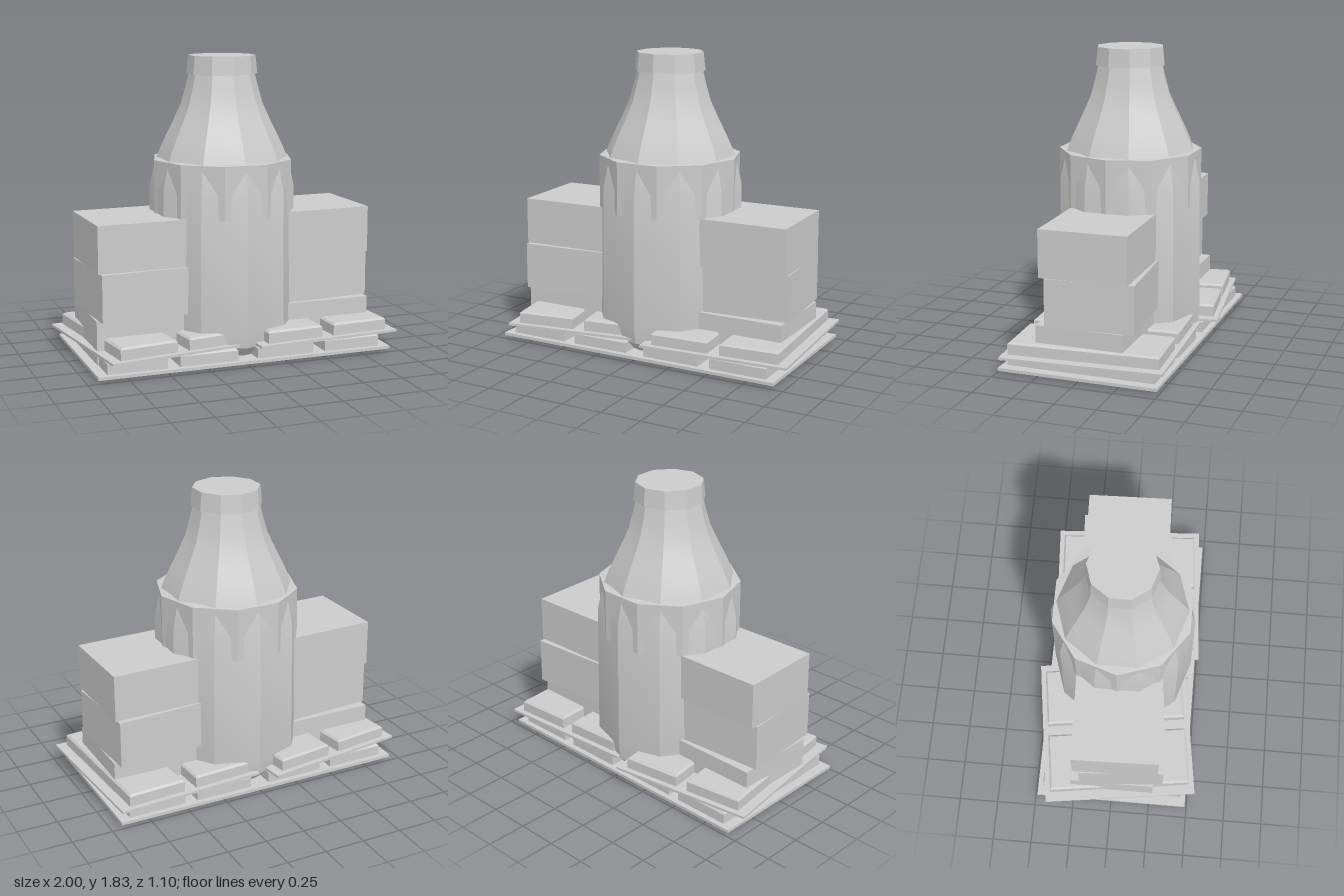
import * as THREE from 'three';
import { toCreasedNormals } from 'three/addons/utils/BufferGeometryUtils.js';

const material = new THREE.MeshStandardMaterial({ color: 0xcccccc });
const rad = THREE.MathUtils.degToRad;

function add(parent, name, geometry, x = 0, y = 0, z = 0) {
  const mesh = new THREE.Mesh(geometry, material);
  mesh.name = name;
  mesh.position.set(x, y, z);
  parent.add(mesh);
  return mesh;
}

// Box given by its bottom and top heights
function slab(parent, name, w, d, y0, y1) {
  return add(parent, name, new THREE.BoxGeometry(w, y1 - y0, d), 0, (y0 + y1) / 2, 0);
}

// Ten-sided turned form, smooth along its height and sharp between sides
function decagon(parent, name, profile, turn = 0) {
  const points = profile.map(([r, y]) => new THREE.Vector2(r, y));
  const geometry = new THREE.LatheGeometry(points, 10, turn);
  return add(parent, name, toCreasedNormals(geometry, rad(25)));
}

// Long plank with a narrow chamfer around its top
function plankGeometry(w, d, h, chamfer) {
  const a = w / 2 - chamfer, b = d / 2 - chamfer;
  const shape = new THREE.Shape([
    new THREE.Vector2(-a, -b), new THREE.Vector2(a, -b),
    new THREE.Vector2(a, b), new THREE.Vector2(-a, b),
  ]);
  const geometry = new THREE.ExtrudeGeometry(shape, {
    depth: h - chamfer, bevelEnabled: true, bevelSegments: 1,
    bevelSize: chamfer, bevelThickness: chamfer,
  });
  return geometry.rotateX(-Math.PI / 2);
}

// Thin plate carrying two planks
function tray(parent, name, x, z, y0, y1, top, degrees) {
  const group = new THREE.Group();
  group.name = name;
  group.position.set(x, 0, z);
  group.rotation.y = rad(degrees);
  slab(group, 'trayPlate', 0.935, 0.977, y0, y1);
  for (const side of [-1, 1]) {
    add(group, 'plank', plankGeometry(0.366, 0.91, top - y1, 0.012), side * 0.222, y1, 0);
  }
  parent.add(group);
}

export function createModel() {
  const model = new THREE.Group();
  model.name = 'bottleOnTrays';

  // Base foot and two layers of trays
  slab(model, 'footPlate', 0.47, 0.46, 0, 0.018);
  tray(model, 'lowerTrayRight', -0.4675, 0, 0.016, 0.035, 0.11, 0);
  tray(model, 'lowerTrayLeft', 0.4675, 0, 0.016, 0.035, 0.11, 0);
  tray(model, 'upperTrayRight', -0.4675, -0.003, 0.11, 0.125, 0.2, 8);
  tray(model, 'upperTrayLeft', 0.5025, -0.005, 0.11, 0.125, 0.2, 3.5);

  // Stacked blocks running through the body, each turned a little
  const blocks = [[0.04, 0.305, 0], [0.305, 0.593, 4], [0.593, 0.88, 1.6]];
  for (const [y0, y1, degrees] of blocks) {
    slab(model, 'crossBlock', 1.765, 0.535, y0, y1).rotation.y = rad(degrees);
  }

  // Body, with a half-step turned collar that cuts arches into its top
  decagon(model, 'body', [
    [0, 0.035], [0.37, 0.035], [0.44, 0.1], [0.456, 0.2], [0.446, 1.03], [0.408, 1.2], [0, 1.2],
  ]);
  decagon(model, 'collar', [
    [0, 0.88], [0.437, 0.88], [0.437, 1.205], [0.39, 1.21], [0, 1.21],
  ], Math.PI / 10);

  // Shoulder, neck and cap
  decagon(model, 'shoulder', [
    [0.405, 1.2], [0.382, 1.26], [0.345, 1.34], [0.305, 1.42], [0.25, 1.54], [0.225, 1.63], [0.2, 1.73],
  ]);
  decagon(model, 'cap', [[0, 1.72], [0.218, 1.72], [0.206, 1.832], [0, 1.832]]);

  return model;
}
